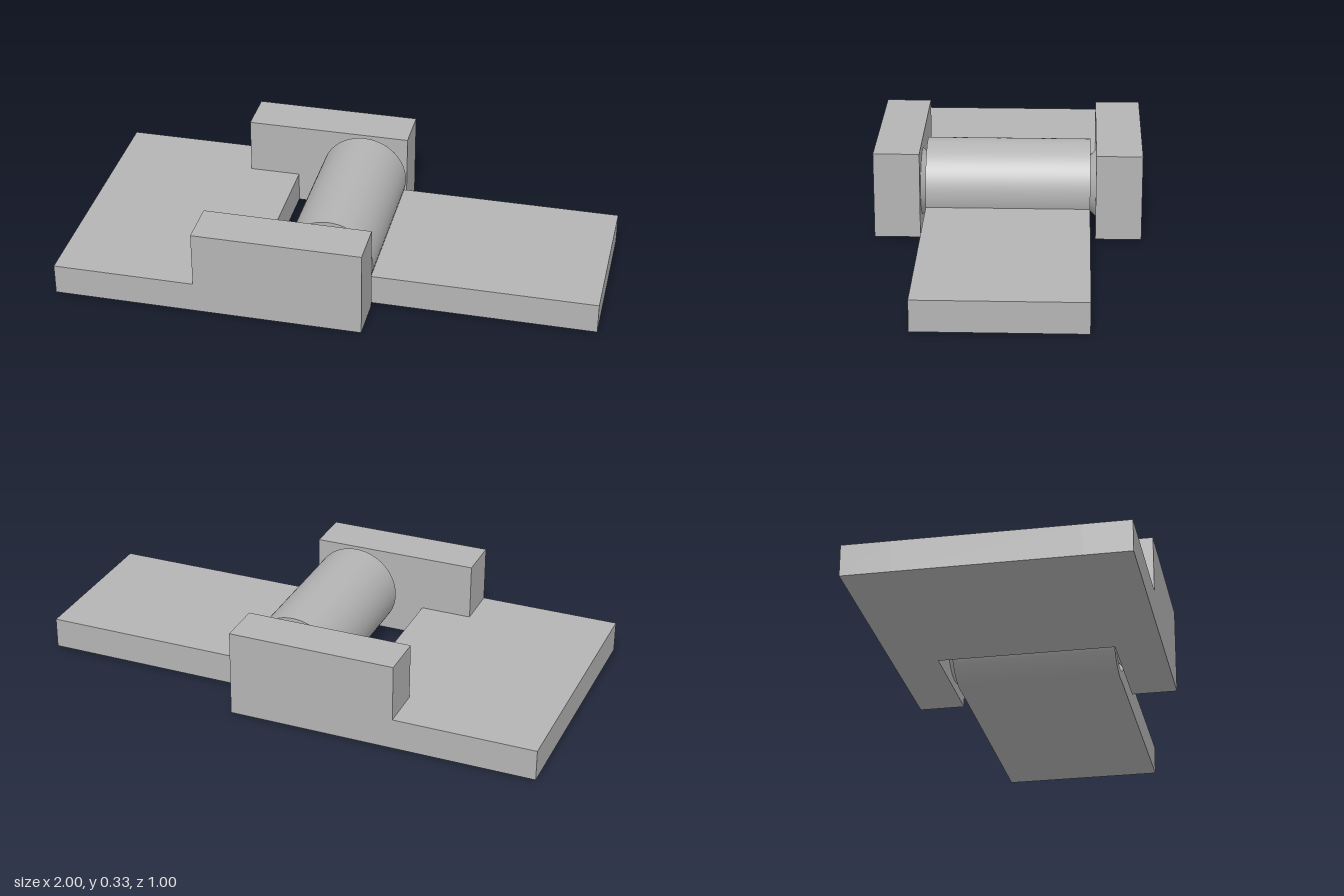
import * as THREE from 'three';
import { toCreasedNormals } from 'three/addons/utils/BufferGeometryUtils.js';

const R = 0.1665;        // barrel radius, also the height of its axis
const BASE = 0.003;      // underside of both leaves
const LEAF = 0.12;       // top of both leaves
const BARREL_Z = 0.307;  // half length of the barrel
const ARM_Z = 0.328;     // inner face of the arms
const PIN = 0.127;       // radius and depth of the 45 degree pins and sockets

export function createModel() {
  const group = new THREE.Group();
  const grey = new THREE.MeshStandardMaterial({ color: 0xb4b4b4 });
  grey.name = 'hingeGrey';

  const add = (name, geometry, x = 0, y = 0, z = 0) => {
    const mesh = new THREE.Mesh(geometry, grey);
    mesh.name = name;
    mesh.position.set(x, y, z);
    group.add(mesh);
  };
  const extrude = (shape, depth) =>
    new THREE.ExtrudeGeometry(shape, { depth, bevelEnabled: false, curveSegments: 16 });

  // Forked leaf: flat web between two stepped arms
  add('forkWeb', new THREE.BoxGeometry(0.73, LEAF - BASE, ARM_Z * 2),
    -0.635, (LEAF + BASE) / 2, 0);
  const armShape = new THREE.Shape([
    [-1, BASE], [0.166, BASE], [0.166, R * 2], [-0.465, R * 2], [-0.465, LEAF], [-1, LEAF],
  ].map(([x, y]) => new THREE.Vector2(x, y)));
  add('frontArm', extrude(armShape, 0.5 - ARM_Z), 0, 0, ARM_Z);
  add('backArm', extrude(armShape, 0.5 - ARM_Z), 0, 0, -0.5);

  // Conical pins pointing inward from the arms
  for (const side of [1, -1]) {
    const cone = new THREE.ConeGeometry(PIN, PIN, 64);
    cone.rotateX(-side * Math.PI / 2);
    add(side > 0 ? 'frontPin' : 'backPin', cone, 0, R, side * (ARM_Z - PIN / 2));
  }

  // Barrel with a conical socket in each end
  const profile = [
    [0, PIN - BARREL_Z], [PIN, -BARREL_Z], [R, -BARREL_Z],
    [R, BARREL_Z], [PIN, BARREL_Z], [0, BARREL_Z - PIN],
  ].map(([x, y]) => new THREE.Vector2(x, y));
  const barrel = toCreasedNormals(new THREE.LatheGeometry(profile, 72), 0.5);
  barrel.rotateX(Math.PI / 2);
  add('barrel', barrel, 0, R, 0);

  // Moving leaf, its inner edge curved to sit in the barrel wall
  const r = R - 0.002;
  const leafShape = new THREE.Shape();
  leafShape.moveTo(1, BASE);
  leafShape.lineTo(1, LEAF);
  leafShape.absarc(0, R, r, Math.asin((LEAF - R) / r), Math.asin((BASE - R) / r), true);
  leafShape.closePath();
  add('movingLeaf', extrude(leafShape, BARREL_Z * 2), 0, 0, -BARREL_Z);

  return group;
}
